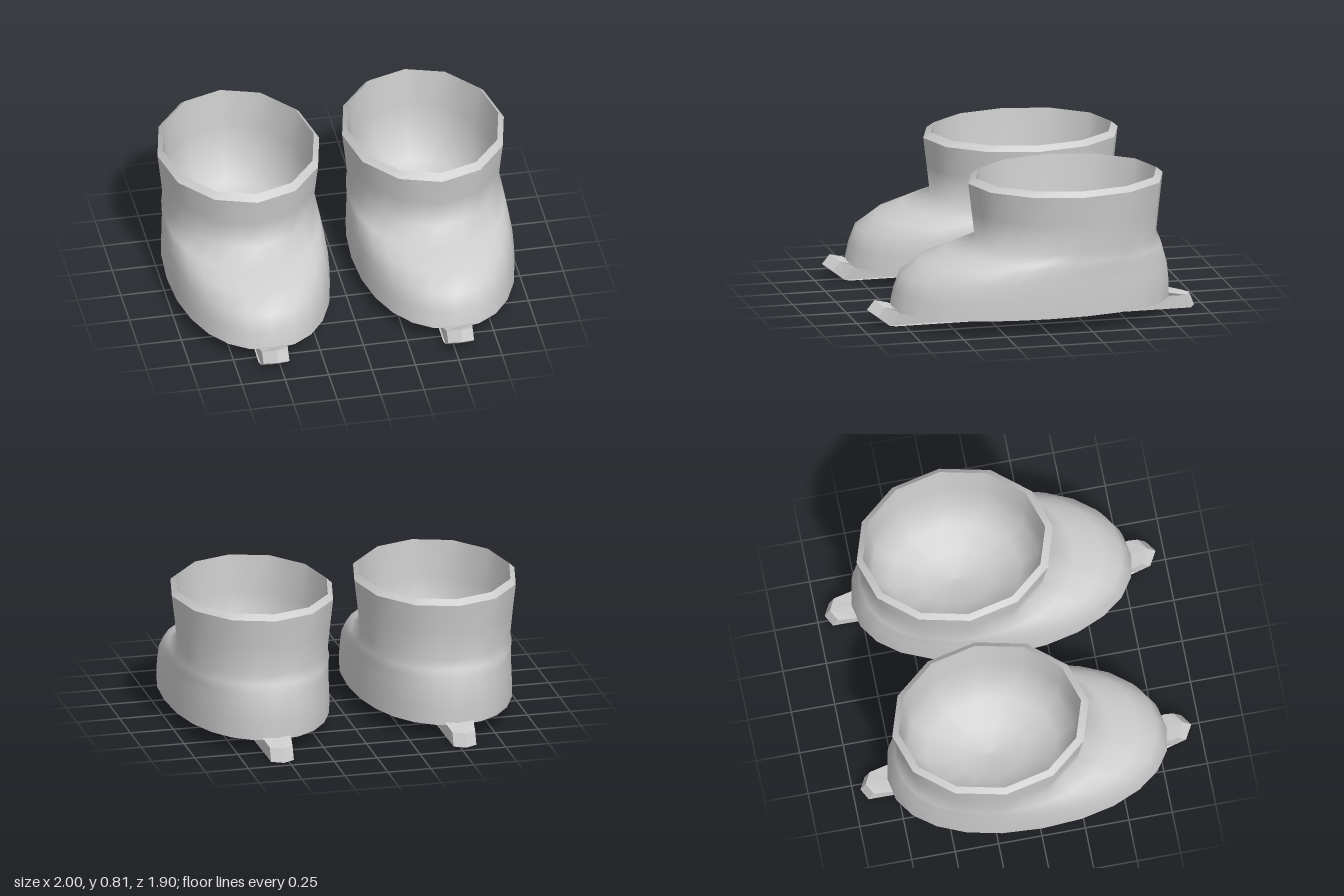
import * as THREE from 'three';

const SIDES = 24;

// Closed oval ring. Foot rings are slightly squared ovals; cuff rings are 12-sided.
function ring({ y, front, back, half, cuff }) {
  const points = [], mid = (front + back) / 2, depth = (front - back) / 2;
  const at = (i) => {
    const a = (i / SIDES) * Math.PI * 2;
    const soft = (v) => (cuff ? v : Math.sign(v) * Math.abs(v) ** 0.93);
    return [half * soft(Math.sin(a)), y, mid + depth * soft(Math.cos(a))];
  };
  for (let i = 0; i < SIDES; i++) {
    if (cuff && i % 2) {
      const p = at(i - 1), q = at(i + 1);
      points.push(p.map((v, k) => (v + q[k]) / 2));
    } else points.push(at(i));
  }
  return points;
}

// Smooth skin through a stack of rings
function loft(specs) {
  const positions = specs.flatMap(ring).flat(), index = [];
  for (let r = 0; r < specs.length - 1; r++) {
    for (let i = 0; i < SIDES; i++) {
      const j = (i + 1) % SIDES, a = r * SIDES, b = a + SIDES;
      index.push(a + i, a + j, b + j, a + i, b + j, b + i);
    }
  }
  const g = new THREE.BufferGeometry();
  g.setAttribute('position', new THREE.Float32BufferAttribute(positions, 3));
  g.setIndex(index);
  g.computeVertexNormals();
  return g;
}

const spec = (y, front, back, half, cuff = false) => ({ y, front, back, half, cuff });

// Runner under the sole: side profile extruded across, with pointed ends
function runnerGeometry() {
  const half = 0.083;
  const profile = [
    [-0.91, 0], [0.8, 0], [0.88, 0.03], [0.95, 0.085], [0.905, 0.14], [0.81, 0.1],
    [0.78, 0.085], [-0.78, 0.1], [-0.925, 0.075], [-0.955, 0],
  ].map(([z, y]) => new THREE.Vector2(z, y));
  let g = new THREE.ExtrudeGeometry(new THREE.Shape(profile), { depth: half * 2, steps: 2, bevelEnabled: false });
  g.rotateY(-Math.PI / 2).translate(half, 0, 0);
  const p = g.attributes.position;
  for (let i = 0; i < p.count; i++) {
    const x = p.getX(i), y = p.getY(i), z = p.getZ(i);
    const edge = Math.abs(x) / half;
    if (z > 0.85) {
      p.setXYZ(i, x * 0.9, y - 0.027 * edge, z - 0.045 * edge);
    } else if (z < -0.9) {
      p.setXYZ(i, x * 0.8, y, z + 0.035 * edge);
    }
  }
  if (g.index) g = g.toNonIndexed();
  g.computeVertexNormals();
  return g;
}

export function createModel() {
  const model = new THREE.Group();
  model.name = 'bootPair';
  const grey = new THREE.MeshStandardMaterial({ color: 0xcccccc });
  grey.name = 'light grey';

  const parts = {
    // Foot rising into the flared ankle cuff
    upper: loft([
      spec(0.085, 0.81, -0.8, 0.455),
      spec(0.18, 0.79, -0.8, 0.455),
      spec(0.28, 0.75, -0.79, 0.45),
      spec(0.35, 0.64, -0.77, 0.443),
      spec(0.4, 0.475, -0.755, 0.437),
      spec(0.45, 0.32, -0.735, 0.43, true),
      spec(0.62, 0.34, -0.753, 0.447, true),
      spec(0.785, 0.36, -0.772, 0.466, true),
    ]),
    // Bevelled lip of the cuff
    rim: loft([
      spec(0.785, 0.36, -0.772, 0.466, true),
      spec(0.815, 0.315, -0.735, 0.435, true),
    ]),
    // Bowl-shaped inside
    lining: loft([
      spec(0.815, 0.315, -0.735, 0.435, true),
      spec(0.6, 0.3, -0.71, 0.41, true),
      spec(0.42, 0.28, -0.69, 0.385, true),
      spec(0.3, 0.18, -0.58, 0.3, true),
      spec(0.23, 0.01, -0.41, 0.16, true),
      spec(0.21, -0.2, -0.2, 0, true),
    ]),
    sole: loft([
      spec(0.085, 0.005, 0.005, 0),
      spec(0.085, 0.81, -0.8, 0.455),
    ]),
    runner: runnerGeometry(),
  };

  for (const [name, x] of [['leftBoot', 0.532], ['rightBoot', -0.532]]) {
    const boot = new THREE.Group();
    boot.name = name;
    boot.position.x = x;
    for (const [part, geometry] of Object.entries(parts)) {
      const mesh = new THREE.Mesh(geometry, grey);
      mesh.name = part;
      boot.add(mesh);
    }
    model.add(boot);
  }
  return model;
}
